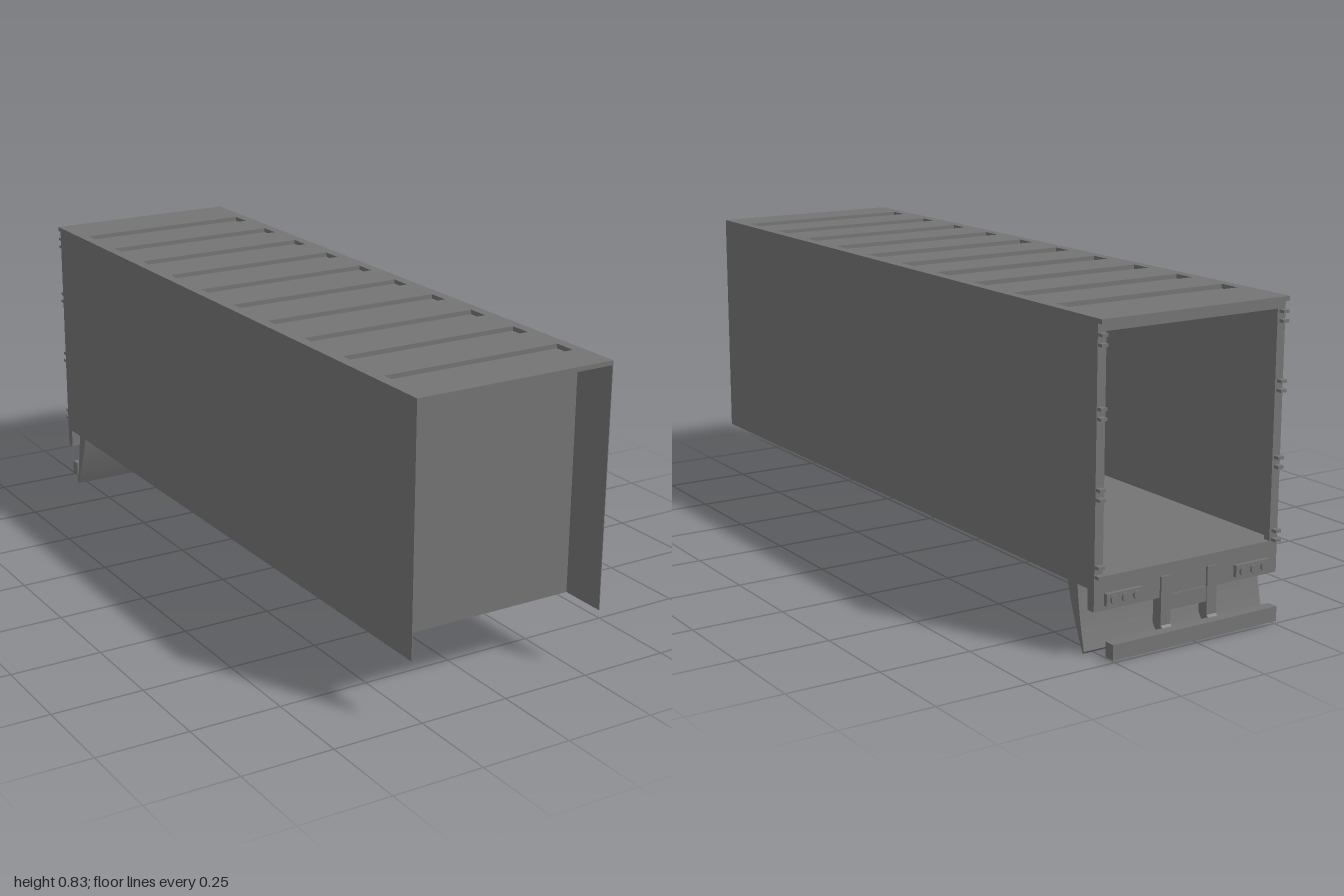
import * as THREE from 'three';

const W = 0.285, TOP = 0.83, BASE = 0.173, FRONT = 1, REAR = -0.955;

export function createModel() {
  const model = new THREE.Group();
  const mat = new THREE.MeshStandardMaterial({ color: 0x747474, flatShading: true, side: THREE.DoubleSide });

  const add = (name, geo, parent = model) => {
    const mesh = new THREE.Mesh(geo, mat);
    mesh.name = name;
    parent.add(mesh);
  };
  // box given by its limits on each axis
  const box = (name, x0, x1, y0, y1, z0, z1, parent) => {
    const geo = new THREE.BoxGeometry(x1 - x0, y1 - y0, z1 - z0);
    geo.translate((x0 + x1) / 2, (y0 + y1) / 2, (z0 + z1) / 2);
    add(name, geo, parent);
  };
  // side profile of [z, y] points, extruded along x
  const profile = (name, pts, x0, x1) => {
    const shape = new THREE.Shape(pts.map(([z, y]) => new THREE.Vector2(-z, y)));
    const geo = new THREE.ExtrudeGeometry(shape, { depth: x1 - x0, bevelEnabled: false });
    geo.rotateY(Math.PI / 2);
    geo.translate(x0, 0, 0);
    add(name, geo);
  };
  // points [z, y] along a quadratic curve
  const bend = (a, b, c) => new THREE.QuadraticBezierCurve(
    new THREE.Vector2(...a), new THREE.Vector2(...b), new THREE.Vector2(...c)
  ).getPoints(10).map((p) => [p.x, p.y]);

  // Cargo box: side sheets run past the recessed front wall
  for (const s of [-1, 1]) {
    const x = s * (W - 0.001);
    box('sideWall', x - 0.001, x + 0.001, BASE, TOP - 0.001, REAR, FRONT);
  }
  box('frontWall', -W + 0.002, W - 0.002, BASE, TOP - 0.016, 0.866, 0.87);
  box('floor', -W + 0.002, W - 0.002, 0.199, 0.205, REAR, 0.866);

  // Roof with ten recessed cross channels
  const depth = 0.012, ribX = 0.256, ribHalf = 0.031;
  const roofShape = new THREE.Shape([
    new THREE.Vector2(-W, -FRONT), new THREE.Vector2(W, -FRONT),
    new THREE.Vector2(W, -REAR), new THREE.Vector2(-W, -REAR),
  ]);
  const trays = new THREE.Group();
  trays.name = 'roofChannels';
  model.add(trays);
  for (let i = 0; i < 10; i++) {
    const z = -0.783 + i * 0.1815;
    roofShape.holes.push(new THREE.Path([
      new THREE.Vector2(-ribX, -z - ribHalf), new THREE.Vector2(-ribX, -z + ribHalf),
      new THREE.Vector2(ribX, -z + ribHalf), new THREE.Vector2(ribX, -z - ribHalf),
    ]));
    box('roofChannel', -ribX, ribX, TOP - depth - 0.003, TOP - depth, z - ribHalf, z + ribHalf, trays);
  }
  const roofGeo = new THREE.ExtrudeGeometry(roofShape, { depth, bevelEnabled: false });
  roofGeo.rotateX(-Math.PI / 2);
  roofGeo.translate(0, TOP - depth, 0);
  add('roof', roofGeo);

  // Rear door frame
  const frame = new THREE.Group();
  frame.name = 'rearFrame';
  model.add(frame);
  box('header', -W, W, 0.798, 0.818, -0.96, -0.94, frame);
  box('roofLip', -W, W, 0.818, TOP, -0.975, -0.95, frame);
  box('sill', -W, W, 0.12, 0.205, -0.96, -0.935, frame);
  for (const s of [-1, 1]) {
    const xs = [s * W, s * 0.26].sort((p, q) => p - q);
    box('post', xs[0], xs[1], 0.12, TOP - 0.012, -0.96, -0.94, frame);
    // paired hinge lugs
    for (const y of [0.22, 0.41, 0.605, 0.78]) {
      for (const d of [-0.012, 0.012]) {
        box('hinge', s * 0.275 - 0.009, s * 0.275 + 0.009, y + d - 0.004, y + d + 0.004, -0.976, -0.955, frame);
      }
    }
  }

  // Tail lamps: a housing with three round lamps on each side
  for (const s of [-1, 1]) {
    const lamps = new THREE.Group();
    lamps.name = 'tailLamps';
    model.add(lamps);
    const cx = s * 0.2;
    box('lampHousing', cx - 0.055, cx + 0.055, 0.132, 0.163, -0.971, -0.955, lamps);
    for (let i = -1; i <= 1; i++) {
      const geo = new THREE.CylinderGeometry(0.011, 0.011, 0.008, 12);
      geo.rotateX(Math.PI / 2);
      geo.translate(cx + i * 0.034, 0.147, -0.973);
      add('lamp', geo, lamps);
    }
  }

  // Under-run bumper with its brackets and the plate holder between them
  for (const s of [-1, 1]) {
    profile('bumperBracket', [[-0.935, 0.175], [-0.966, 0.175], [-0.966, 0.05], [-0.975, 0.043], [-0.975, 0.006], [-0.965, 0.008], [-0.935, 0.05]],
      s * 0.072 - 0.015, s * 0.072 + 0.015);
  }
  box('bumperBar', -0.256, 0.256, 0.006, 0.045, -1, -0.97);
  box('plateHolder', -0.057, 0.057, 0.085, 0.125, -0.964, -0.945);

  // Curved wedge-shaped splash guard
  profile('splashGuard', [
    ...bend([-0.845, 0.174], [-0.868, 0.085], [-0.912, 0]),
    ...bend([-0.916, 0.006], [-0.893, 0.1], [-0.886, 0.174]),
  ], -0.28, 0.28);

  return model;
}
